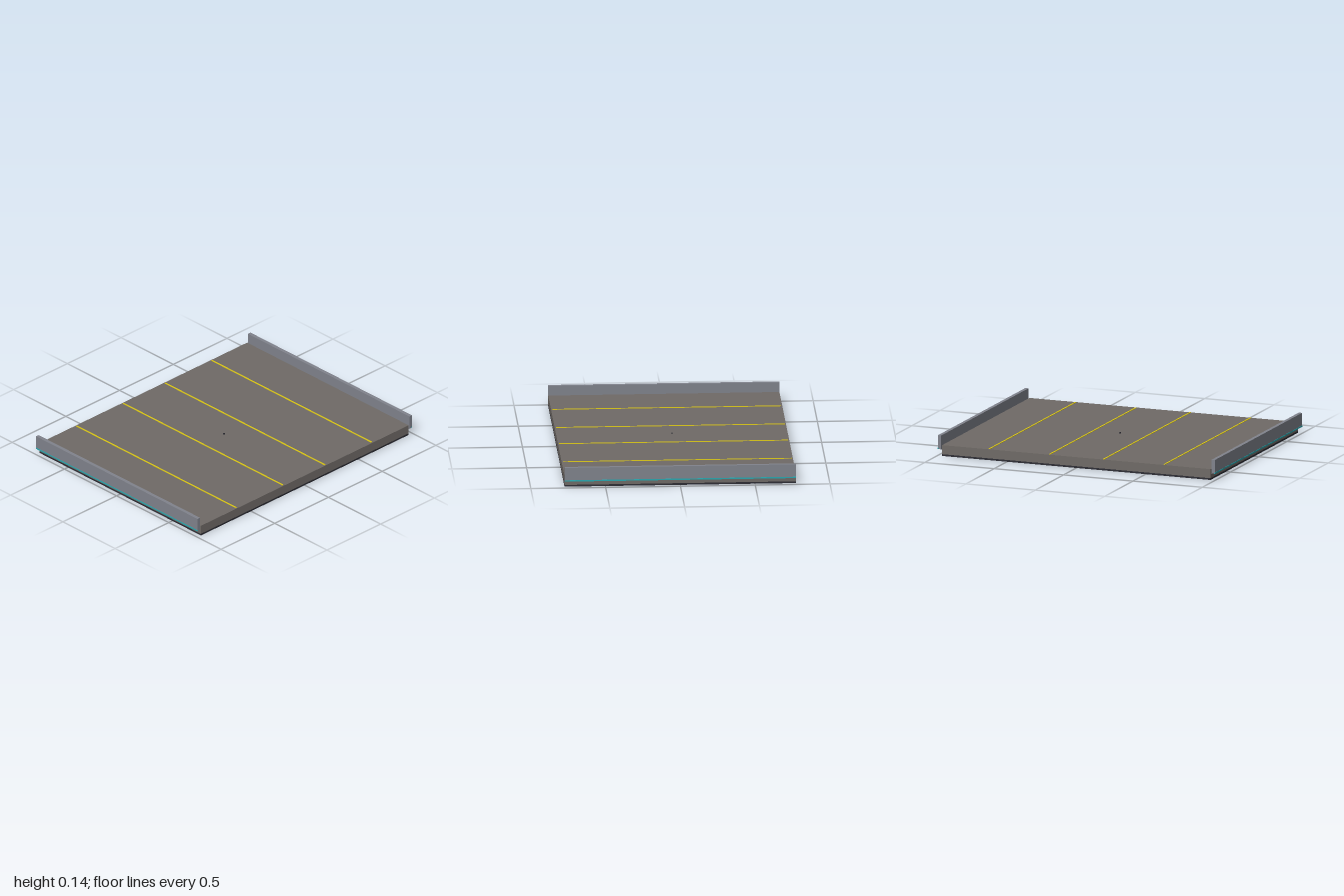
import * as THREE from 'three';

const LENGTH = 1.546;

export function createModel() {
  const model = new THREE.Group();
  model.name = 'roadSegment';
  const mat = (color) => new THREE.MeshStandardMaterial({ color, flatShading: true });
  const asphalt = mat(0x6f6a66), under = mat(0x2c2c34), metal = mat(0x80838c);
  const paint = mat(0xd8c416), glow = mat(0x28a8b0);

  // Box given by its centre x, bottom, width, height and length
  function box(name, material, x, y0, w, h, l) {
    const mesh = new THREE.Mesh(new THREE.BoxGeometry(w, h, l), material);
    mesh.position.set(x, y0 + h / 2, 0);
    mesh.name = name;
    model.add(mesh);
    return mesh;
  }

  // Deck slab on its dark underside
  box('underside', under, 0, 0, 1.934, 0.012, LENGTH);
  box('deck', asphalt, 0, 0.012, 1.934, 0.062, LENGTH);

  // Painted lane lines and the small centre stud
  for (const x of [-0.63, -0.195, 0.195, 0.63]) {
    box('laneLine', paint, x, 0.073, 0.011, 0.004, 1.53);
  }
  box('centreStud', under, 0, 0.073, 0.008, 0.01, 0.008);

  // Side barriers with a sloped lower edge, and a light strip along the outside
  const profile = [[0.974, 0.042], [0.998, 0.05], [0.998, 0.139], [0.974, 0.139]];
  for (const side of [1, -1]) {
    const shape = new THREE.Shape(profile.map(([x, y]) => new THREE.Vector2(side * x, y)));
    const geo = new THREE.ExtrudeGeometry(shape, { depth: LENGTH, bevelEnabled: false });
    geo.translate(0, 0, -LENGTH / 2);
    const barrier = new THREE.Mesh(geo, metal);
    barrier.name = side > 0 ? 'leftBarrier' : 'rightBarrier';
    model.add(barrier);
    box('lightStrip', glow, side * 0.996, 0.044, 0.008, 0.009, LENGTH);
  }
  return model;
}
